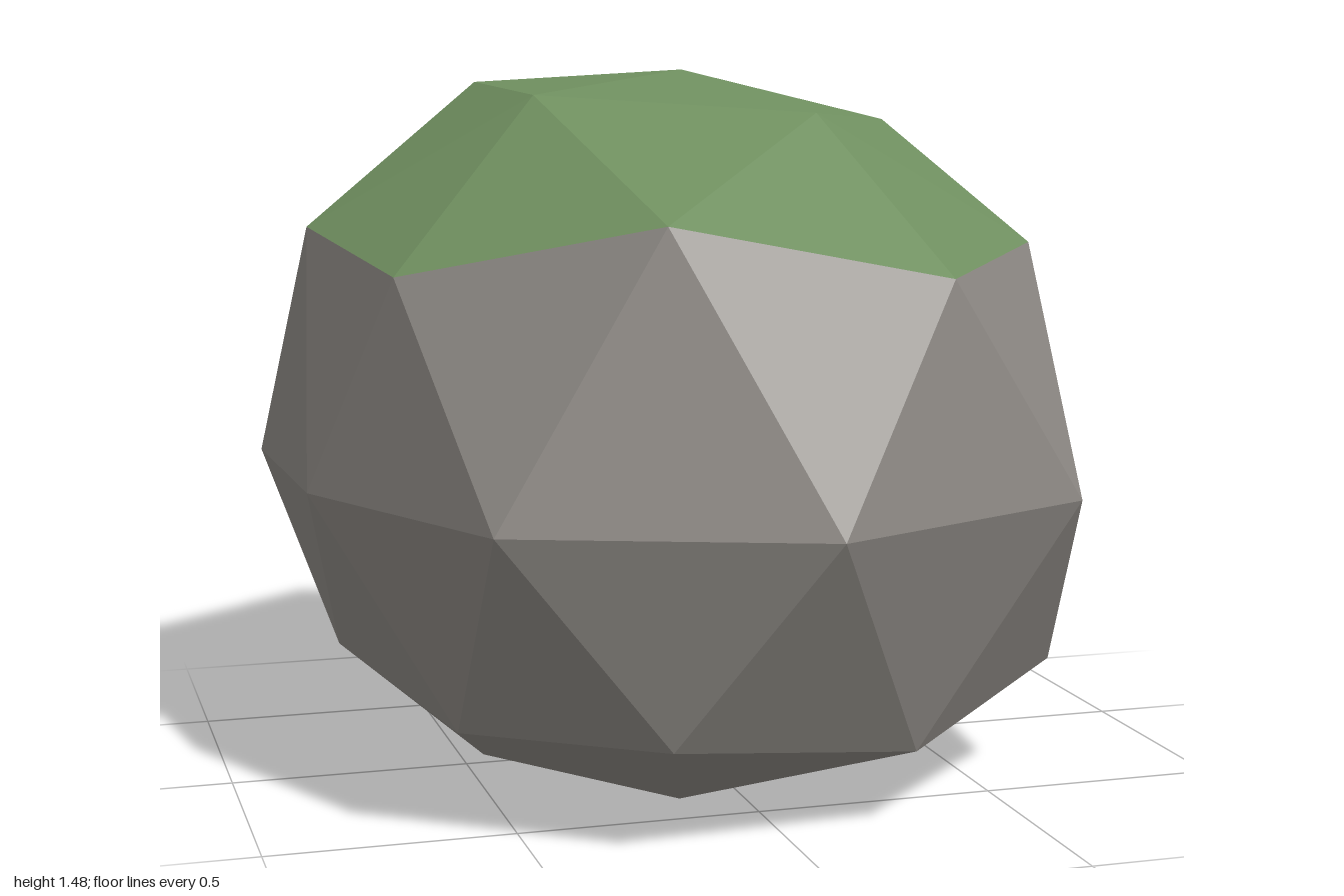
import * as THREE from 'three';

// Rings of a once-divided icosahedron, listed around y starting near +x and turning toward +z.
const top = [0, 1.48, -0.06];
const bottom = [0, 0, -0.06];
const crown = [[0.46, 1.37, -0.06], [0.15, 1.4, 0.39], [-0.39, 1.435, 0.22], [-0.39, 1.45, -0.36], [0.16, 1.41, -0.51]];
const upper = [[0.81, 1.05, -0.06], [0.29, 1.1, 0.79], [-0.72, 1.1, 0.46], [-0.72, 1.12, -0.59], [0.28, 1.09, -0.89]];
const upperMid = [[0.62, 1.13, 0.38], [-0.27, 1.21, 0.78], [-0.81, 1.16, -0.06], [-0.26, 1.19, -0.88], [0.68, 1.17, -0.55]];
const equator = [[0.81, 0.2], [0.59, 0.73], [0, 1], [-0.6, 0.78], [-0.86, 0.22],
  [-0.88, -0.35], [-0.58, -0.88], [0, -1], [0.57, -0.83], [0.87, -0.35]].map(([x, z]) => [x, 0.65, z]);
const lower = [[0.67, 0.25, 0.41], [-0.26, 0.22, 0.78], [-0.76, 0.27, -0.06], [-0.25, 0.24, -0.83], [0.67, 0.24, -0.54]];
const lowerMid = [[0.72, 0.23, -0.06], [0.26, 0.16, 0.7], [-0.6, 0.19, 0.42], [-0.6, 0.19, -0.5], [0.23, 0.2, -0.78]];
const base = [[0.39, 0, 0.2], [-0.13, 0, 0.37], [-0.45, 0, -0.06], [-0.13, 0, -0.5], [0.37, 0, -0.34]];

// Four small triangles from three corners and the points between them.
const split = (a, b, c, ab, bc, ca) => [[a, ab, ca], [ab, b, bc], [ca, bc, c], [ab, bc, ca]];

function facetMesh(name, triangles, material) {
  const geometry = new THREE.BufferGeometry();
  geometry.setAttribute('position', new THREE.Float32BufferAttribute(triangles.flat(2), 3));
  geometry.computeVertexNormals();
  const mesh = new THREE.Mesh(geometry, material);
  mesh.name = name;
  return mesh;
}

export function createModel() {
  const stone = new THREE.MeshStandardMaterial({ color: 0x8c8883 });
  stone.name = 'grey stone';
  const moss = new THREE.MeshStandardMaterial({ color: 0x6f8f5f });
  moss.name = 'green moss';

  const stoneFaces = [];
  const mossFaces = [];
  const bareCorners = [upper[0], upper[3]]; // stone shows through the moss here

  for (let k = 0; k < 5; k++) {
    const n = (k + 1) % 5;
    // Cap
    for (const face of split(top, upper[n], upper[k], crown[n], upperMid[k], crown[k])) {
      const bare = face.some((p) => bareCorners.includes(p));
      (bare ? stoneFaces : mossFaces).push(face);
    }
    // Sides and underside
    const e0 = equator[2 * k], e1 = equator[2 * k + 1], e2 = equator[(2 * k + 2) % 10];
    stoneFaces.push(
      ...split(upper[k], upper[n], lower[k], upperMid[k], e1, e0),
      ...split(upper[n], lower[n], lower[k], e2, lowerMid[n], e1),
      ...split(bottom, lower[k], lower[n], base[k], lowerMid[n], base[n]),
    );
  }

  const boulder = new THREE.Group();
  boulder.name = 'mossyBoulder';
  boulder.add(facetMesh('rock', stoneFaces, stone), facetMesh('mossCap', mossFaces, moss));
  return boulder;
}
